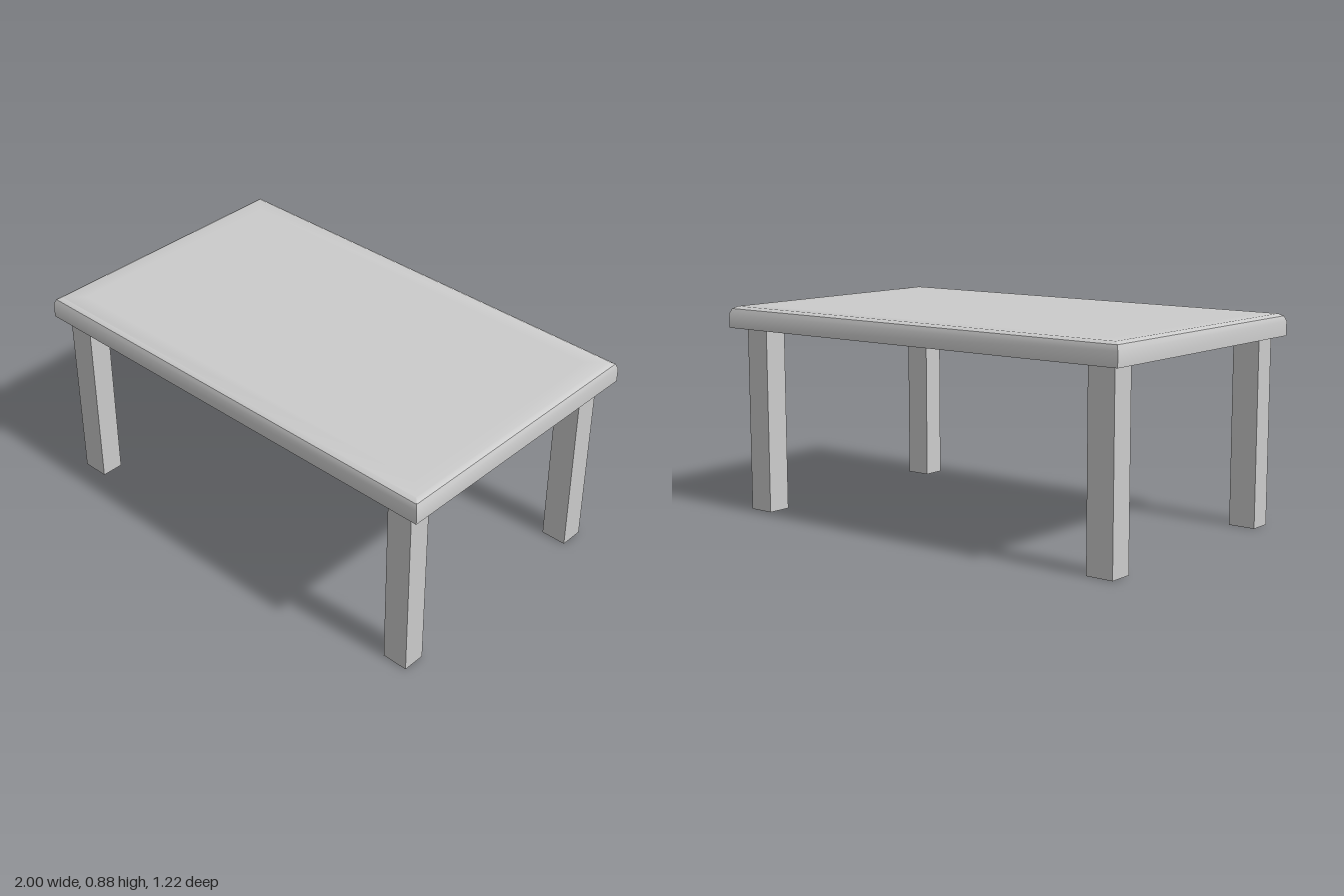
import * as THREE from 'three';
import { toCreasedNormals } from 'three/addons/utils/BufferGeometryUtils.js';

const material = new THREE.MeshStandardMaterial({ color: 0xcccccc });
const HALF_X = 1, HALF_Z = 0.61, UNDERSIDE = 0.79;

// Slab with a softened upper rim, stacked from rectangular rings of [inset, y]
function slabGeometry(rings) {
  const positions = [], index = [];
  for (const [inset, y] of rings) {
    const x = HALF_X - inset, z = HALF_Z - inset;
    positions.push(x, y, z, x, y, -z, -x, y, -z, -x, y, z);
  }
  for (let r = 0; r < rings.length - 1; r++) {
    for (let i = 0; i < 4; i++) {
      const a = r * 4 + i, b = r * 4 + (i + 1) % 4;
      index.push(a, b, b + 4, a, b + 4, a + 4);
    }
  }
  const t = (rings.length - 1) * 4;
  index.push(t, t + 1, t + 2, t, t + 2, t + 3); // upper cap
  index.push(0, 2, 1, 0, 3, 2); // lower cap
  const geometry = new THREE.BufferGeometry();
  geometry.setAttribute('position', new THREE.Float32BufferAttribute(positions, 3));
  geometry.setIndex(index);
  return toCreasedNormals(geometry, 0.6);
}

export function createModel() {
  const table = new THREE.Group();
  table.name = 'table';

  // Tabletop
  const top = new THREE.Mesh(slabGeometry([
    [0, UNDERSIDE], [0, 0.85], [0.009, 0.872], [0.027, 0.882], [0.1, 0.882],
  ]), material);
  top.name = 'tabletop';
  table.add(top);

  // Square legs; the right pair is slightly wider and nearer the edge
  const sides = [['left', 0.88, 0.112], ['right', -0.898, 0.118]];
  const ends = [['front', 0.511, 0.098], ['back', -0.511, 0.105]];
  for (const [side, x, width] of sides) {
    for (const [end, z, depth] of ends) {
      const leg = new THREE.Mesh(new THREE.BoxGeometry(width, UNDERSIDE, depth), material);
      leg.position.set(x, UNDERSIDE / 2, z);
      leg.name = `${end} ${side} leg`;
      table.add(leg);
    }
  }
  return table;
}
